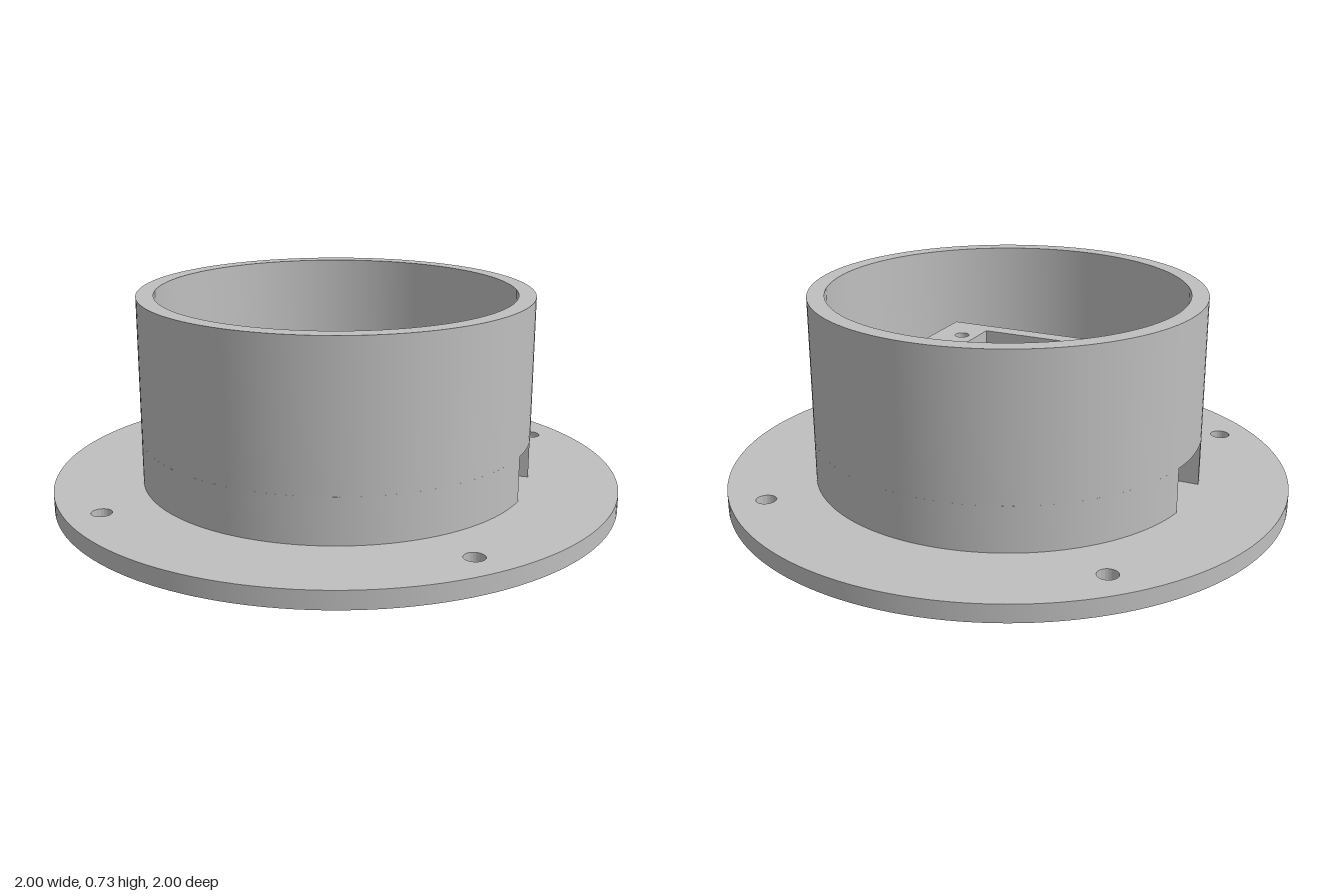
import * as THREE from 'three';
import { toCreasedNormals } from 'three/addons/utils/BufferGeometryUtils.js';

const BASE_TOP = 0.062, SLOT_TOP = 0.222, BLOCK_TOP = 0.507, RIM_TOP = 0.725;
const OUTER = 0.69, INNER = 0.63, SLOT = 0.125;
const BLOCK_X = 0.32, BLOCK_Z = 0.222;
const POCKET = { x0: -0.48, x1: 0.165, z: 0.163 };

const gray = new THREE.MeshStandardMaterial({ color: 0xbfbfbf });
gray.name = 'lightGray';

const circle = (x, y, r, T = THREE.Path) => new T().absarc(x, y, r, 0, Math.PI * 2, false);

// Extrudes a plan outline upward from y0 to y1
function slab(name, shape, y0, y1) {
  const geo = new THREE.ExtrudeGeometry(shape, { depth: y1 - y0, bevelEnabled: false, curveSegments: 72 });
  geo.rotateX(-Math.PI / 2);
  geo.translate(0, y0, 0);
  const mesh = new THREE.Mesh(toCreasedNormals(geo, Math.PI / 6), gray);
  mesh.name = name;
  return mesh;
}

export function createModel() {
  const model = new THREE.Group();
  model.name = 'flangedHousing';

  // Round flange with four mounting holes
  const flange = circle(0, 0, 1, THREE.Shape);
  for (const x of [-0.62, 0.62]) for (const z of [-0.62, 0.62]) flange.holes.push(circle(x, z, 0.035));
  model.add(slab('baseFlange', flange, 0, BASE_TOP));

  // Cylinder wall above the side openings
  const ring = circle(0, 0, OUTER, THREE.Shape);
  ring.holes.push(circle(0, 0, INNER));
  model.add(slab('upperWall', ring, SLOT_TOP, RIM_TOP));

  // Mounting block above the cable channel, with pocket and screw holes
  const end = Math.asin(BLOCK_Z / INNER), slotEnd = Math.asin(SLOT / INNER);
  const block = new THREE.Shape();
  block.moveTo(BLOCK_X, -BLOCK_Z);
  block.lineTo(BLOCK_X, BLOCK_Z);
  block.absarc(0, 0, INNER, Math.PI - end, Math.PI + end, false);
  block.closePath();
  const pocket = new THREE.Path();
  pocket.moveTo(POCKET.x0, -POCKET.z);
  pocket.lineTo(POCKET.x0, POCKET.z);
  pocket.lineTo(POCKET.x1, POCKET.z);
  pocket.lineTo(POCKET.x1, -POCKET.z);
  pocket.closePath();
  block.holes.push(pocket);
  for (const x of [-0.54, 0.222]) for (const z of [-0.077, 0.077]) block.holes.push(circle(x, z, 0.026));
  model.add(slab('mountBlock', block, SLOT_TOP, BLOCK_TOP));

  for (const s of [1, -1]) {
    // Lower wall halves, leaving an opening at each end of the x axis
    const a = Math.asin(SLOT / OUTER);
    const half = new THREE.Shape();
    half.absarc(0, 0, OUTER, s * a, s * (Math.PI - a), s < 0);
    half.absarc(0, 0, INNER, s * (Math.PI - slotEnd), s * slotEnd, s > 0);
    half.closePath();
    model.add(slab('lowerWall', half, BASE_TOP, SLOT_TOP));

    // Block sides flanking the cable channel
    const side = new THREE.Shape();
    side.moveTo(BLOCK_X, s * SLOT);
    side.lineTo(BLOCK_X, s * BLOCK_Z);
    side.absarc(0, 0, INNER, Math.PI - s * end, Math.PI - s * slotEnd, s < 0);
    side.lineTo(POCKET.x0, s * SLOT);
    side.lineTo(POCKET.x0, s * POCKET.z);
    side.lineTo(POCKET.x1, s * POCKET.z);
    side.lineTo(POCKET.x1, s * SLOT);
    side.closePath();
    model.add(slab('blockSide', side, BASE_TOP, SLOT_TOP));
  }
  return model;
}
